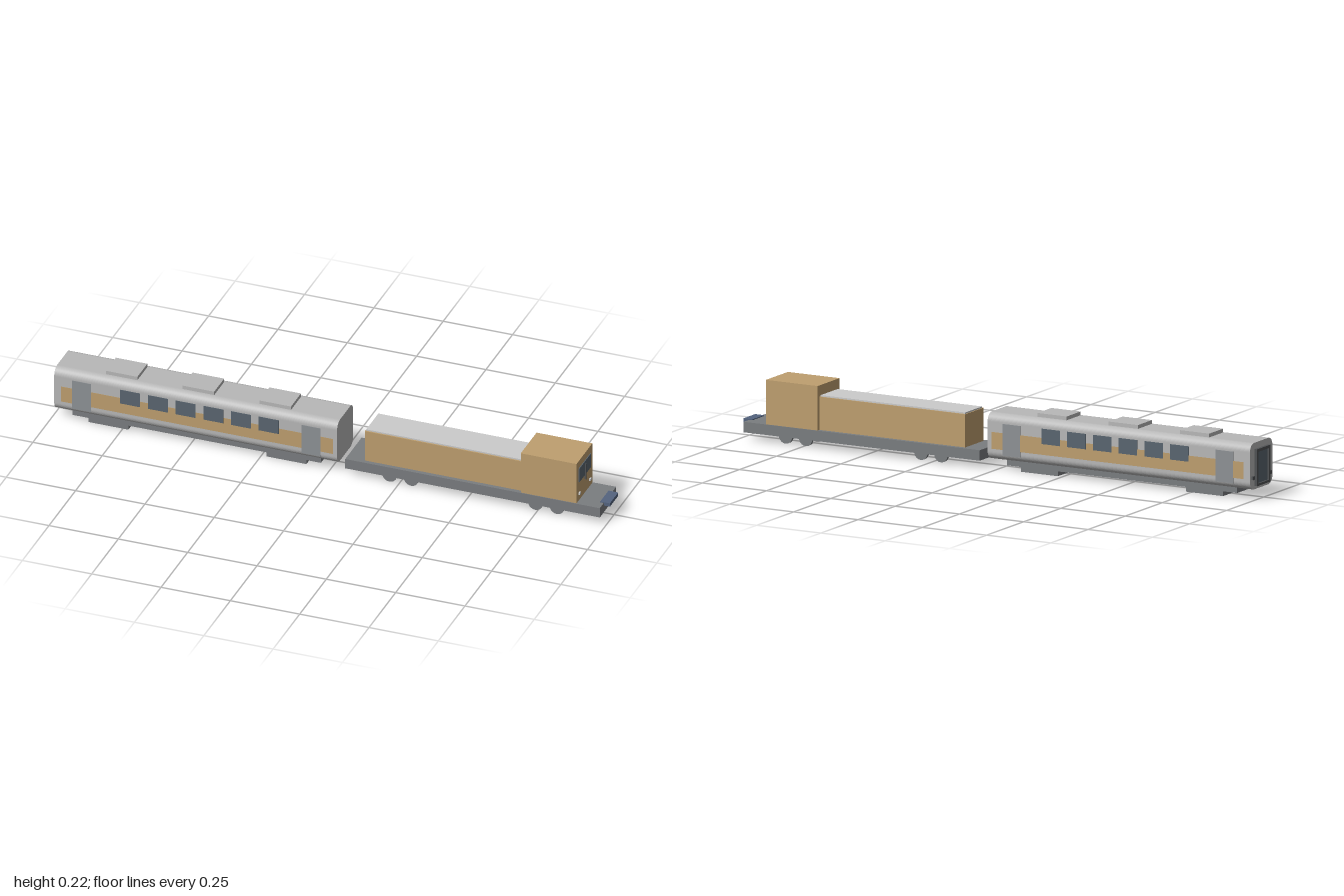
import * as THREE from 'three';

const paint = (color) => new THREE.MeshStandardMaterial({ color });

export function createModel() {
  const model = new THREE.Group();
  const mat = {
    tan: paint(0xbe9f6f), silver: paint(0xb8b8b8), light: paint(0xcccccc),
    frame: paint(0x7a7d80), dark: paint(0x505254), glass: paint(0x5a6670),
    door: paint(0x8e9296), blue: paint(0x54647f),
  };

  // Box given by its limits along each axis
  function box(parent, name, material, [x0, x1], [y0, y1], [z0, z1]) {
    const mesh = new THREE.Mesh(new THREE.BoxGeometry(x1 - x0, y1 - y0, z1 - z0), material);
    mesh.position.set((x0 + x1) / 2, (y0 + y1) / 2, (z0 + z1) / 2);
    mesh.name = name;
    parent.add(mesh);
    return mesh;
  }
  const both = (w) => [-w, w];
  // Thin panel repeated on both long sides
  function sidePanels(parent, name, material, xs, ys, z0, z1) {
    box(parent, name + 'Left', material, xs, ys, [z0, z1]);
    box(parent, name + 'Right', material, xs, ys, [-z1, -z0]);
  }

  // ---- Passenger coach ----
  const coach = new THREE.Group();
  coach.name = 'coach';
  model.add(coach);

  // Body: rounded section swept along x
  const w = 0.0755, y0 = 0.037, y1 = 0.197, r = 0.028;
  const section = new THREE.Shape();
  section.moveTo(-w + r, y0);
  section.absarc(w - r, y0 + r, r, -Math.PI / 2, 0);
  section.absarc(w - r, y1 - r, r, 0, Math.PI / 2);
  section.absarc(-w + r, y1 - r, r, Math.PI / 2, Math.PI);
  section.absarc(-w + r, y0 + r, r, Math.PI, Math.PI * 1.5);
  const bodyGeometry = new THREE.ExtrudeGeometry(section, { depth: 1.02, bevelEnabled: false, curveSegments: 6 });
  bodyGeometry.rotateY(Math.PI / 2);
  const body = new THREE.Mesh(bodyGeometry, mat.silver);
  body.position.x = -0.99;
  body.name = 'coachBody';
  coach.add(body);

  // Colour band, windows and doors
  sidePanels(coach, 'colourBand', mat.tan, [-0.965, 0.015], [0.075, 0.133], 0.07, 0.0762);
  for (let i = 0; i < 6; i++) {
    const x = -0.716 + i * 0.1;
    sidePanels(coach, 'window' + (i + 1), mat.glass, [x - 0.036, x + 0.036], [0.112, 0.165], 0.07, 0.0768);
  }
  for (const x of [-0.891, -0.063]) {
    sidePanels(coach, 'sideDoor', mat.door, [x - 0.034, x + 0.034], [0.056, 0.165], 0.07, 0.0772);
  }

  // Roof units
  for (const x of [-0.758, -0.481, -0.204]) {
    box(coach, 'roofUnit', mat.silver, [x - 0.057, x + 0.057], [0.19, 0.21], both(0.047));
  }

  // Underframe and bogies
  box(coach, 'coachUnderframe', mat.frame, [-0.93, -0.035], [0.02, 0.045], both(0.058));
  for (const x of [-0.802, -0.16]) {
    box(coach, 'coachBogie', mat.frame, [x - 0.072, x + 0.072], [0.003, 0.025], both(0.056));
  }

  // End gangway with its door, and tail lamps
  const gangY = [0.048, 0.175];
  for (const s of [-1, 1]) {
    const z = s * 0.039;
    box(coach, 'gangwayPost', mat.dark, [-1, -0.98], gangY, [z - 0.005, z + 0.005]);
    box(coach, 'tailLamp', mat.dark, [-0.996, -0.98], [0.072, 0.084], [s * 0.058 - 0.006, s * 0.058 + 0.006]);
  }
  box(coach, 'gangwayLintel', mat.dark, [-1, -0.98], [0.165, 0.175], both(0.034));
  box(coach, 'gangwaySill', mat.dark, [-1, -0.98], [0.048, 0.056], both(0.034));
  box(coach, 'endDoor', mat.glass, [-0.994, -0.98], [0.056, 0.165], both(0.034));

  // ---- Locomotive ----
  const loco = new THREE.Group();
  loco.name = 'locomotive';
  model.add(loco);

  box(loco, 'locoFrame', mat.frame, [0.06, 0.978], [0.029, 0.065], both(0.0768));
  box(loco, 'engineHood', mat.tan, [0.125, 0.692], [0.06, 0.179], both(0.062));
  box(loco, 'hoodRoof', mat.light, [0.128, 0.69], [0.175, 0.184], both(0.057));
  box(loco, 'cab', mat.tan, [0.692, 0.893], [0.06, 0.218], both(0.0742));

  // Windscreen, wiper and headlamps
  box(loco, 'windscreen', mat.glass, [0.885, 0.896], [0.137, 0.19], both(0.055));
  box(loco, 'wiper', mat.dark, [0.89, 0.9], [0.12, 0.18], both(0.0012));
  for (const s of [-1, 1]) {
    box(loco, 'headlamp', mat.light, [0.885, 0.898], [0.088, 0.096], [s * 0.05 - 0.006, s * 0.05 + 0.006]);
  }
  box(loco, 'frontCoupler', mat.blue, [0.965, 1], [0.055, 0.068], both(0.039));

  // Wheels, two pairs per end
  const wheelGeometry = new THREE.CylinderGeometry(0.026, 0.026, 0.011, 20).rotateX(Math.PI / 2);
  for (const x of [0.216, 0.294, 0.742, 0.82]) {
    for (const z of [-0.063, 0.063]) {
      const wheel = new THREE.Mesh(wheelGeometry, mat.frame);
      wheel.position.set(x, 0.031, z);
      wheel.name = 'wheel';
      loco.add(wheel);
    }
  }

  // Stand the wheels and bogies on the ground
  model.position.y = -0.003;
  const root = new THREE.Group();
  root.name = 'train';
  root.add(model);
  return root;
}
